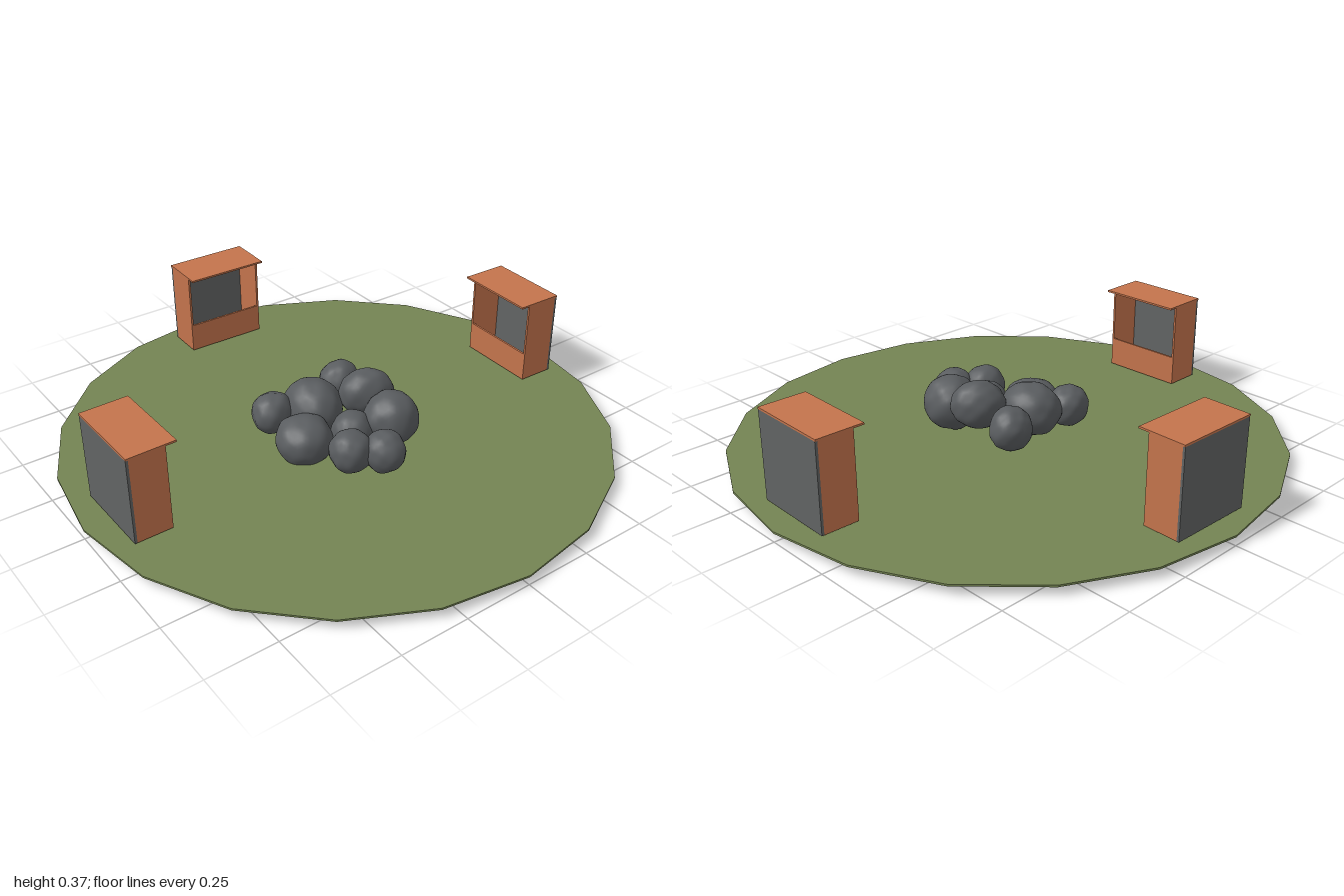
import * as THREE from 'three';
import { mergeVertices } from 'three/addons/utils/BufferGeometryUtils.js';

const makeMaterial = (name, color) => {
  const m = new THREE.MeshStandardMaterial({ color });
  m.name = name;
  return m;
};

export function createModel() {
  const grass = makeMaterial('grass green', 0x748453);
  const wood = makeMaterial('terracotta wood', 0xc4744c);
  const panel = makeMaterial('panel grey', 0x626464);
  const stone = makeMaterial('stone grey', 0x595c5f);

  const model = new THREE.Group();
  model.name = 'campClearing';

  const add = (parent, name, geometry, material, x = 0, y = 0, z = 0) => {
    const mesh = new THREE.Mesh(geometry, material);
    mesh.name = name;
    mesh.position.set(x, y, z);
    parent.add(mesh);
    return mesh;
  };

  // Thin twenty-sided lawn
  const lawn = new THREE.CylinderGeometry(1, 1, 0.007, 20).toNonIndexed();
  lawn.computeVertexNormals();
  add(model, 'lawn', lawn, grass, 0, 0.038, 0);

  // Open stall: its counter side faces local +z
  const stall = (name, x, z, yaw) => {
    const g = new THREE.Group();
    g.name = name;
    const box = (part, w, h, d, px, py, pz, mat) =>
      add(g, part, new THREE.BoxGeometry(w, h, d), mat, px, py, pz);
    box('backPanel', 0.312, 0.318, 0.009, 0, 0.209, -0.0835, panel);
    for (const s of [-1, 1]) {
      box(s < 0 ? 'rightWall' : 'leftWall', 0.008, 0.318, 0.129, s * 0.152, 0.209, -0.0145, wood);
    }
    box('counterFront', 0.296, 0.11, 0.008, 0, 0.105, 0.046, wood);
    box('roof', 0.316, 0.007, 0.176, 0, 0.3715, 0, wood);
    g.position.set(x, 0, z);
    g.rotation.y = yaw;
    model.add(g);
  };
  stall('frontStall', 0.013, 0.817, Math.PI + 0.01);
  stall('backStall', 0.015, -0.825, -0.025);
  stall('rightStall', -0.827, -0.014, Math.PI / 2 - 0.02);

  // Boulder: a sphere gently lumped by layered waves, smooth shaded
  const boulder = (i, x, y, z, rx, ry, rz, yaw) => {
    let geo = new THREE.IcosahedronGeometry(1, 7);
    geo.deleteAttribute('uv');
    geo.deleteAttribute('normal');
    geo = mergeVertices(geo, 1e-4);
    const p = geo.attributes.position;
    const v = new THREE.Vector3();
    const k = i * 1.7;
    for (let n = 0; n < p.count; n++) {
      v.fromBufferAttribute(p, n);
      const broad = Math.sin(3 * v.x + k) * Math.sin(2.6 * v.y + 2 * k) * Math.cos(2.8 * v.z - k);
      const fine = Math.sin(7 * v.x - k + 2 * v.y) * Math.sin(6 * v.y + k) * Math.sin(7 * v.z + 3 * k);
      v.multiplyScalar(1 + 0.05 * broad + 0.035 * fine);
      p.setXYZ(n, v.x * rx, v.y * ry, v.z * rz);
    }
    geo.computeVertexNormals();
    add(rocks, 'boulder' + (i + 1), geo, stone, x, y, z).rotation.y = yaw;
  };

  // Heap of boulders: x, y, z, radii, yaw
  const rocks = new THREE.Group();
  rocks.name = 'rockPile';
  model.add(rocks);
  [
    [-0.13, 0.14, -0.11, 0.073, 0.078, 0.08, 0.3],
    [0.04, 0.175, -0.105, 0.078, 0.088, 0.1, -0.5],
    [0.185, 0.14, -0.105, 0.1, 0.1, 0.1, 0.4],
    [-0.05, 0.135, 0.065, 0.115, 0.098, 0.1, 0.2],
    [0.14, 0.115, 0.03, 0.074, 0.075, 0.076, 0],
    [0.31, 0.12, 0.02, 0.075, 0.075, 0.076, 0.8],
    [0.245, 0.122, 0.115, 0.076, 0.077, 0.074, 1.4],
    [-0.11, 0.125, 0.2, 0.073, 0.077, 0.08, 0.1],
    [0.06, 0.093, 0.182, 0.103, 0.089, 0.1, 0.3],
  ].forEach((r, i) => boulder(i, ...r));

  return model;
}
